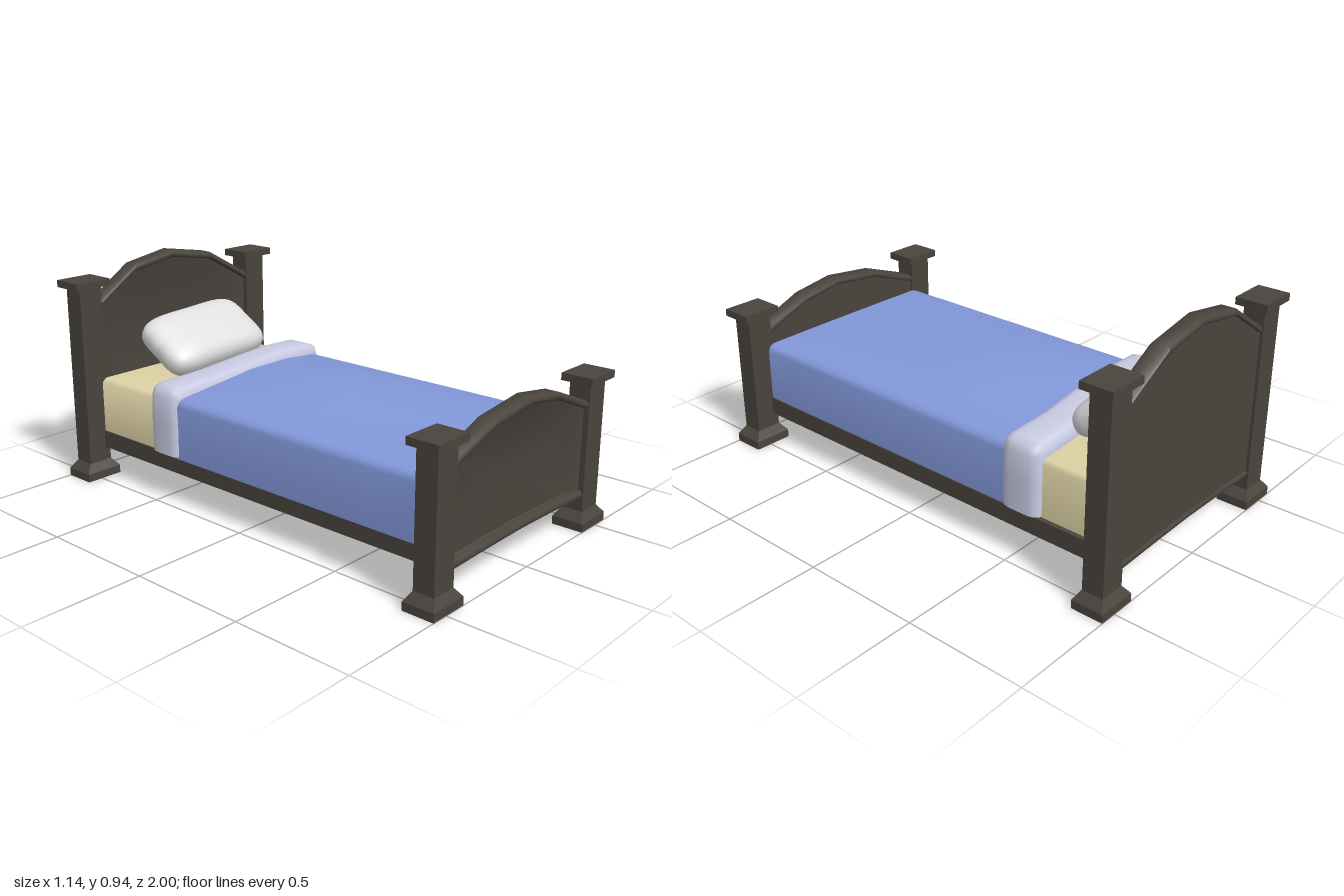
import * as THREE from 'three';
import { toCreasedNormals } from 'three/addons/utils/BufferGeometryUtils.js';

const material = (name, color) => {
  const m = new THREE.MeshStandardMaterial({ color });
  m.name = name;
  return m;
};

// Skins a row of closed rings of [x, y, z] points and caps both ends
function loft(rings, crease = 0.6) {
  const n = rings[0].length;
  const pos = rings.flat(2);
  const index = [];
  for (let i = 0; i < rings.length - 1; i++) {
    for (let j = 0; j < n; j++) {
      const a = i * n + j, b = i * n + (j + 1) % n;
      index.push(a, b, b + n, a, b + n, a + n);
    }
  }
  [0, rings.length - 1].forEach((r, end) => {
    const centre = [0, 1, 2].map(k => rings[r].reduce((s, p) => s + p[k], 0) / n);
    const c = pos.length / 3;
    pos.push(...centre);
    for (let j = 0; j < n; j++) {
      const a = r * n + j, b = r * n + (j + 1) % n;
      if (end) index.push(a, b, c); else index.push(b, a, c);
    }
  });
  // Turn the faces outward when the enclosed volume is negative
  const p = i => new THREE.Vector3().fromArray(pos, i * 3);
  let volume = 0;
  for (let i = 0; i < index.length; i += 3) {
    volume += p(index[i]).dot(p(index[i + 1]).cross(p(index[i + 2])));
  }
  if (volume < 0) index.reverse();
  const g = new THREE.BufferGeometry();
  g.setAttribute('position', new THREE.Float32BufferAttribute(pos, 3));
  g.setIndex(index);
  return toCreasedNormals(g, crease);
}

// Linear interpolation through [key, value] stops
function along(stops, t) {
  for (let i = 1; i < stops.length; i++) {
    const [a, va] = stops[i - 1], [b, vb] = stops[i];
    if (t <= b) return va + (vb - va) * Math.max(0, (t - a) / (b - a));
  }
  return stops[stops.length - 1][1];
}

// Square post with flared foot and flat cap
function postGeometry(height) {
  const rings = [
    [0.085, 0.0675, 0], [0.085, 0.0675, 0.035], [0.055, 0.045, 0.072],
    [0.055, 0.045, height - 0.032], [0.085, 0.0675, height - 0.03], [0.085, 0.0675, height],
  ];
  return loft(rings.map(([w, d, y]) => [[-w, y, -d], [w, y, -d], [w, y, d], [-w, y, d]]), 0.4);
}

// Arched board: dished panel between a top and a bottom rim
function board(name, arch, wood) {
  const group = new THREE.Group();
  group.name = name;
  const bottom = [[-0.43, 0.13], [-0.22, 0.136], [0, 0.14], [0.22, 0.136], [0.43, 0.13]];
  const outline = [...arch.map(([x, y]) => [x, y - 0.012]),
    ...bottom.map(([x, y]) => [x, y + 0.008]).reverse()];
  const mid = (arch[0][1] + 0.13) / 2;
  const ring = (s, z) => outline.map(([x, y]) => [x * s, mid + (y - mid) * s, z]);
  const panel = new THREE.Mesh(
    loft([ring(1, -0.033), ring(1, 0.022), ring(0.94, 0.02), ring(0.86, 0.004)], 0.8), wood);
  panel.name = name + 'Panel';
  group.add(panel);

  const rim = (points, part) => {
    const profile = [[0, -0.03], [0, 0.03], [-0.009, 0.04], [-0.023, 0.04],
      [-0.032, 0.03], [-0.032, -0.03], [-0.023, -0.04], [-0.009, -0.04]];
    const mesh = new THREE.Mesh(
      loft(points.map(([x, y]) => profile.map(([dy, z]) => [x, y + dy, z])), 0.9), wood);
    mesh.name = name + part;
    group.add(mesh);
  };
  rim(arch, 'TopRim');
  rim(bottom.map(([x, y]) => [x, y + 0.03]), 'BottomRim');
  return group;
}

export function createModel() {
  const bed = new THREE.Group();
  bed.name = 'bed';
  const wood = material('dark wood', 0x4a443d);
  const blue = material('blue blanket', 0x8298da);
  const cream = material('cream mattress', 0xded3a6);
  const lilac = material('pale lilac sheet', 0xcaccE4);
  const white = material('white pillow', 0xdedede);
  const add = (name, geometry, mat) => {
    const mesh = new THREE.Mesh(geometry, mat);
    mesh.name = name;
    bed.add(mesh);
    return mesh;
  };

  // Four posts
  for (const x of [-0.485, 0.485]) {
    add('headPost', postGeometry(0.88), wood).position.set(x, 0, -0.9325);
    add('footPost', postGeometry(0.63), wood).position.set(x, 0, 0.9325);
  }

  // Headboard and footboard
  const head = board('headboard',
    [[-0.43, 0.78], [-0.23, 0.91], [-0.015, 0.945], [0.21, 0.905], [0.43, 0.78]], wood);
  head.position.z = -0.932;
  const foot = board('footboard',
    [[-0.43, 0.53], [-0.2, 0.615], [0.03, 0.643], [0.22, 0.615], [0.43, 0.53]], wood);
  foot.position.z = 0.932;
  bed.add(head, foot);

  // Solid bed base with a slightly hollow underside
  const baseRing = z => [[-0.455, 0.13, z], [0, 0.14, z], [0.455, 0.13, z],
    [0.455, 0.205, z], [0, 0.205, z], [-0.455, 0.205, z]];
  add('bedBase', loft([baseRing(-0.91), baseRing(0.91)]), wood);

  // Mattress
  const mattressRing = z => [[-0.45, 0.2, z], [-0.45, 0.425, z], [-0.435, 0.44, z],
    [0.42, 0.44, z], [0.435, 0.425, z], [0.435, 0.2, z]];
  add('mattress', loft([mattressRing(-0.895), mattressRing(0.88)], 0.9), cream);

  // Blanket, crowned along the middle
  const crown = [[-0.5, 0.475], [-0.4, 0.485], [-0.05, 0.515], [0.4, 0.487], [0.89, 0.457]];
  const blanketRing = z => {
    const h = along(crown, z), s = 0.455 + (h - 0.455) * 0.6;
    return [[-0.465, 0.2], [-0.465, 0.425], [-0.457, 0.446], [-0.435, 0.455], [-0.25, s], [0, h],
      [0.25, s], [0.42, 0.455], [0.442, 0.446], [0.45, 0.425], [0.45, 0.2]].map(([x, y]) => [x, y, z]);
  };
  add('blanket', loft([-0.5, -0.4, -0.22, -0.05, 0.17, 0.4, 0.65, 0.89].map(blanketRing), 0.9), blue);

  // Turned-down sheet, a wavy band over the top and both sides
  const backEdge = [[-0.48, -0.54], [-0.2, -0.55], [0, -0.575], [0.22, -0.61], [0.47, -0.62]];
  const frontEdge = [[-0.48, -0.38], [-0.22, -0.385], [0, -0.415], [0.22, -0.447], [0.47, -0.45]];
  const path = [[-0.482, 0.21, -1, 0], [-0.484, 0.35, -1, 0], [-0.48, 0.455, -1, 0.2],
    [-0.465, 0.488, -0.7, 0.7], [-0.435, 0.5, -0.2, 1], [-0.22, 0.503, 0, 1], [-0.1, 0.505, 0, 1],
    [0, 0.507, 0, 1], [0.1, 0.507, 0, 1], [0.22, 0.507, 0, 1], [0.42, 0.5, 0.2, 1],
    [0.452, 0.488, 0.7, 0.7], [0.466, 0.455, 1, 0.2], [0.47, 0.35, 1, 0], [0.469, 0.21, 1, 0]];
  const sheetProfile = [[0, 0.06], [0, 0.02], [0.1, 0.005], [0.25, 0], [0.75, 0], [0.9, 0.005],
    [1, 0.02], [1, 0.06]];
  add('foldedSheet', loft(path.map(([x, y, nx, ny]) => {
    const b = along(backEdge, x), f = along(frontEdge, x);
    return sheetProfile.map(([t, d]) => [x - nx * d, y - ny * d, b + (f - b) * t]);
  }), 1), lilac);

  // Plump pillow: a sphere squared off, with slightly hollow sides
  const pillow = new THREE.SphereGeometry(1, 40, 24);
  const p = pillow.attributes.position;
  const square = (v, e) => Math.sign(v) * Math.abs(v) ** e;
  for (let i = 0; i < p.count; i++) {
    const r = Math.hypot(p.getX(i), p.getZ(i)) || 1;
    const spread = square(r, 0.55);
    const u = square(p.getX(i) / r, 0.5) * spread * (r < 1e-4 ? 0 : 1);
    const w = square(p.getZ(i) / r, 0.5) * spread * (r < 1e-4 ? 0 : 1);
    p.setXYZ(i, u * 0.29 * (0.95 + 0.05 * w * w), square(p.getY(i), 0.8) * 0.085,
      w * 0.172 * (0.92 + 0.08 * u * u));
  }
  pillow.computeVertexNormals();
  const cushion = add('pillow', pillow, white);
  cushion.position.set(0.01, 0.568, -0.738);
  cushion.rotation.set(0.56, 0.03, 0.05);

  return bed;
}
